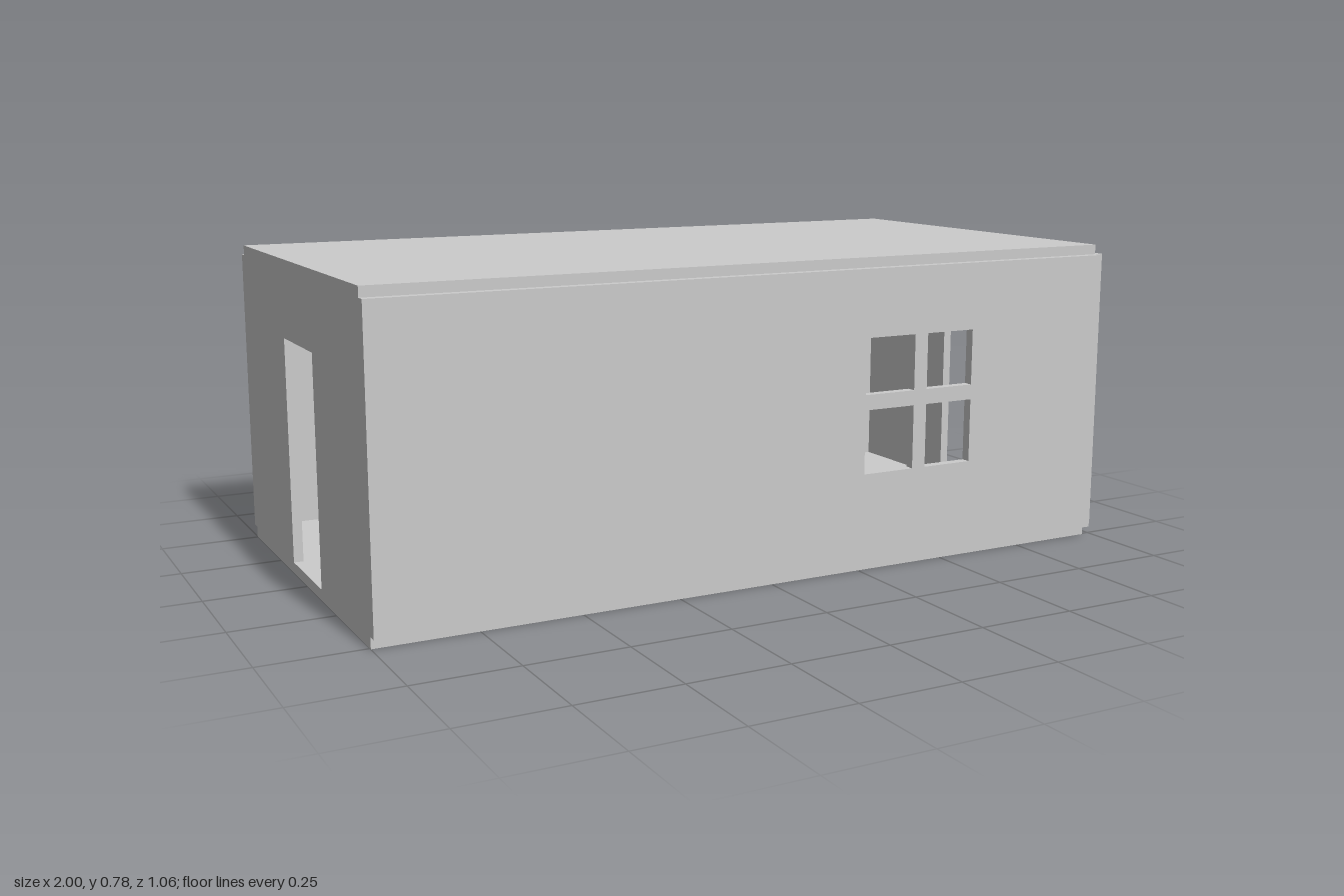
import * as THREE from 'three';

const T = 0.024;               // panel thickness
const Y0 = 0.027, Y1 = 0.757;  // wall bottom and top
const X0 = -1, X1 = 0.976;     // extent of floor, roof and long walls
const ZI = 0.506;              // half depth between the long walls

export function createModel() {
  const group = new THREE.Group();
  group.name = 'house';
  const material = new THREE.MeshStandardMaterial({ color: 0xcccccc, flatShading: true });

  const rect = (path, u0, u1, v0, v1) => {
    path.moveTo(u0, v0);
    path.lineTo(u1, v0);
    path.lineTo(u1, v1);
    path.lineTo(u0, v1);
    path.closePath();
    return path;
  };
  const add = (name, geometry) => {
    const mesh = new THREE.Mesh(geometry, material);
    mesh.name = name;
    group.add(mesh);
    return mesh;
  };
  const extrude = (shape) => new THREE.ExtrudeGeometry(shape, { depth: T, bevelEnabled: false });

  // floor and roof slabs
  const slab = (name, y0, y1) => {
    const mesh = add(name, new THREE.BoxGeometry(X1 - X0, y1 - y0, 2 * ZI));
    mesh.position.set((X0 + X1) / 2, (y0 + y1) / 2, 0);
  };
  slab('floor', 0, Y0);
  slab('roof', Y1, 0.782);

  // front wall with four window panes cut through
  const front = rect(new THREE.Shape(), X0, X1, Y0, Y1);
  for (const [u0, u1] of [[0.247, 0.39], [0.428, 0.565]]) {
    for (const [v0, v1] of [[0.251, 0.411], [0.449, 0.589]]) {
      front.holes.push(rect(new THREE.Path(), u0, u1, v0, v1));
    }
  }
  add('frontWall', extrude(front)).position.z = ZI;

  // plain back wall
  add('backWall', extrude(rect(new THREE.Shape(), X0, X1, Y0, Y1))).position.z = -ZI - T;

  // end walls, each with a doorway down to the floor
  const end = new THREE.Shape([
    [-ZI, Y0], [-0.125, Y0], [-0.125, 0.589], [0.125, 0.589],
    [0.125, Y0], [ZI, Y0], [ZI, Y1], [-ZI, Y1],
  ].map(([u, v]) => new THREE.Vector2(u, v)));
  for (const [name, x] of [['leftWall', X1], ['rightWall', X0]]) {
    const wall = add(name, extrude(end));
    wall.rotation.y = Math.PI / 2;
    wall.position.x = x;
  }
  return group;
}
